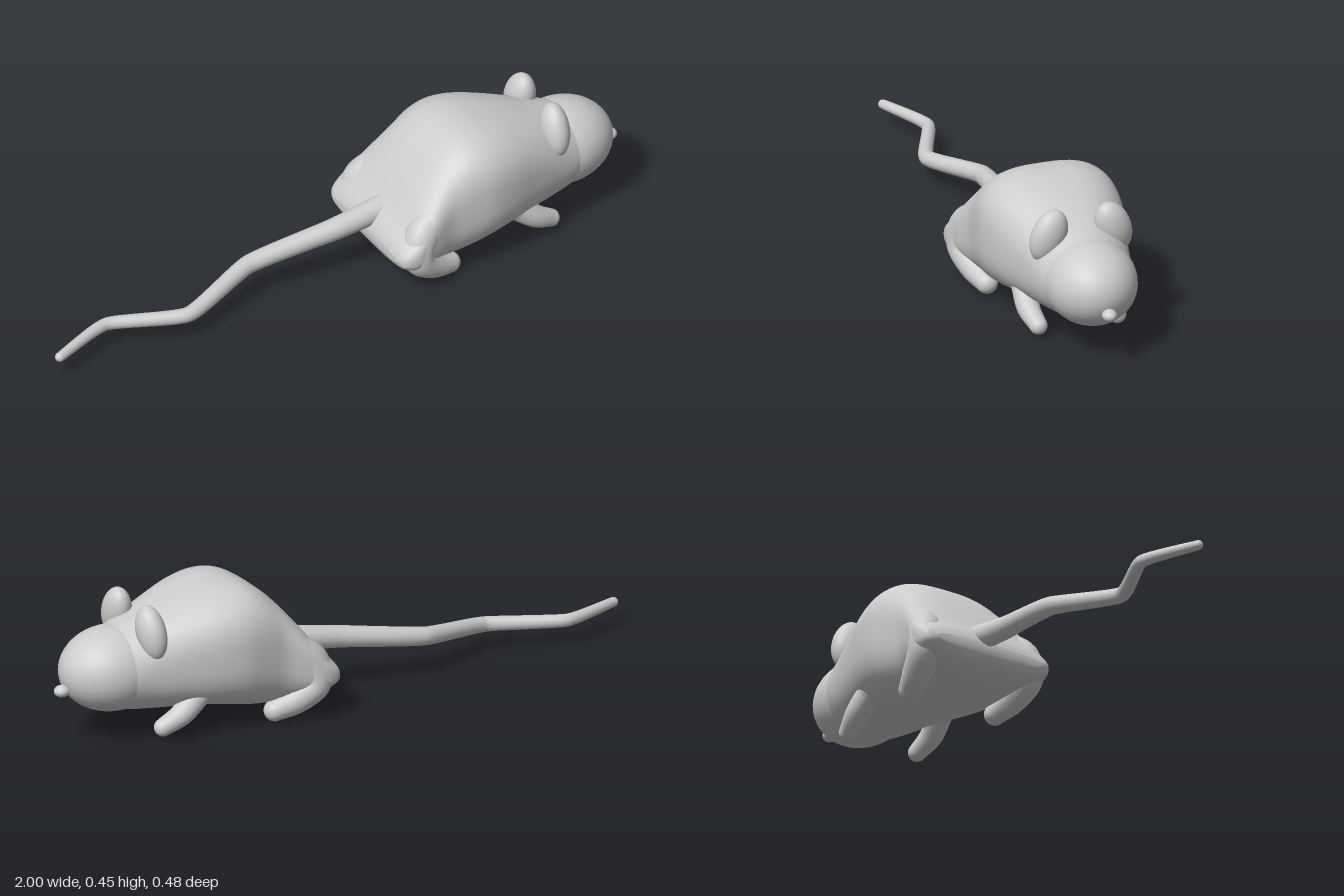
import * as THREE from 'three';

const V = (x, y, z) => new THREE.Vector3(x, y, z);
const fur = new THREE.MeshStandardMaterial({ color: 0xcccccc });
fur.name = 'grey fur';

function mesh(geometry, name) {
  const m = new THREE.Mesh(geometry, fur);
  m.name = name;
  return m;
}

function ellipsoid(name, center, radii) {
  const m = mesh(new THREE.SphereGeometry(1, 40, 28), name);
  m.position.copy(center);
  m.scale.copy(radii);
  return m;
}

// Tapered tube with rounded ends; stations are [x, y, z, radius]
function taperedTube(name, stations, steps, tension = 0.5) {
  const group = new THREE.Group();
  group.name = name;
  const path = new THREE.CatmullRomCurve3(stations.map(s => V(s[0], s[1], s[2])), false, 'catmullrom', tension);
  const sides = 18, last = stations.length - 1;
  const geo = new THREE.TubeGeometry(path, steps, 1, sides);
  const pos = geo.attributes.position, p = V(0, 0, 0);
  for (let i = 0; i <= steps; i++) {
    const c = path.getPointAt(i / steps);
    const t = path.getUtoTmapping(i / steps) * last;
    const k = Math.min(Math.floor(t), last - 1);
    const r = THREE.MathUtils.lerp(stations[k][3], stations[k + 1][3], t - k);
    for (let j = 0; j <= sides; j++) {
      const n = i * (sides + 1) + j;
      p.fromBufferAttribute(pos, n).sub(c).multiplyScalar(r).add(c);
      pos.setXYZ(n, p.x, p.y, p.z);
    }
  }
  group.add(mesh(geo, name + 'Length'));
  for (const s of [stations[0], stations[last]]) {
    group.add(ellipsoid(name + 'End', V(s[0], s[1], s[2]), V(s[3], s[3], s[3])));
  }
  return group;
}

// Body: squarish oval cross-sections lofted from rump to neck
function bodyGeometry() {
  // x, top, bottom, half width, squareness
  const sections = [
    [0.108, 0.150, 0.115, 0.190, 2.6],
    [0.125, 0.182, 0.088, 0.226, 2.8],
    [0.170, 0.232, 0.062, 0.240, 2.9],
    [0.230, 0.310, 0.045, 0.228, 2.9],
    [0.300, 0.388, 0.037, 0.213, 2.9],
    [0.370, 0.436, 0.042, 0.219, 2.9],
    [0.440, 0.448, 0.055, 0.225, 2.8],
    [0.520, 0.437, 0.068, 0.214, 2.7],
    [0.610, 0.412, 0.075, 0.189, 2.5],
    [0.700, 0.380, 0.080, 0.164, 2.3],
    [0.780, 0.355, 0.087, 0.145, 2.0],
    [0.880, 0.325, 0.115, 0.115, 2.0],
  ];
  const heights = new THREE.CatmullRomCurve3(sections.map(s => V(s[0], s[1], s[2])), false, 'catmullrom');
  const widths = new THREE.CatmullRomCurve3(sections.map(s => V(s[0], s[3], s[4])), false, 'catmullrom');
  const rings = 66, sides = 64, points = [], index = [];
  for (let i = 0; i <= rings; i++) {
    const a = heights.getPoint(i / rings), b = widths.getPoint(i / rings);
    const mid = (a.y + a.z) / 2, half = (a.y - a.z) / 2, e = 2 / b.z;
    for (let j = 0; j < sides; j++) {
      const t = j / sides * Math.PI * 2, c = Math.cos(t), s = Math.sin(t);
      points.push(a.x,
        mid + half * Math.sign(s) * Math.abs(s) ** e,
        b.y * Math.sign(c) * Math.abs(c) ** e);
      if (i < rings) {
        const k = (j + 1) % sides, p = i * sides + j, q = i * sides + k;
        index.push(p, p + sides, q, q, p + sides, q + sides);
      }
    }
  }
  // Closing fans at the rump and neck
  const rump = points.length / 3, neck = rump + 1;
  points.push(0.106, 0.1325, 0, 0.88, 0.22, 0);
  for (let j = 0; j < sides; j++) {
    const k = (j + 1) % sides;
    index.push(rump, j, k, neck, rings * sides + k, rings * sides + j);
  }
  const geo = new THREE.BufferGeometry();
  geo.setAttribute('position', new THREE.Float32BufferAttribute(points, 3));
  geo.setIndex(index);
  geo.computeVertexNormals();
  return geo;
}

export function createModel() {
  const mouse = new THREE.Group();
  mouse.name = 'mouse';
  mouse.add(mesh(bodyGeometry(), 'body'));

  // Head and nose
  mouse.add(ellipsoid('head', V(0.80, 0.22, 0), V(0.17, 0.133, 0.143)));
  mouse.add(ellipsoid('nose', V(0.974, 0.176, 0), V(0.026, 0.019, 0.023)));

  for (const s of [1, -1]) {
    const side = s > 0 ? 'left' : 'right';
    // Ear, leaning inwards at the top
    const ear = ellipsoid(side + 'Ear', V(0.72, 0.352, s * 0.105), V(0.044, 0.087, 0.056));
    ear.rotation.set(-s * 0.35, 0, -0.06);
    mouse.add(ear);

    // Short front leg emerging from under the chest
    mouse.add(taperedTube(side + 'FrontLeg', [
      [0.57, 0.130, s * 0.128, 0.042],
      [0.63, 0.080, s * 0.138, 0.036],
      [0.692, 0.044, s * 0.128, 0.028],
    ], 16));

    // Thigh swelling out of the flank and running down into the hind foot
    mouse.add(taperedTube(side + 'HindLeg', [
      [0.29, 0.26, s * 0.155, 0.045],
      [0.205, 0.190, s * 0.180, 0.055],
      [0.190, 0.115, s * 0.188, 0.052],
      [0.25, 0.064, s * 0.175, 0.045],
      [0.315, 0.035, s * 0.158, 0.034],
    ], 40));
  }

  // Tail, winding from side to side
  mouse.add(taperedTube('tail', [
    [0.20, 0.195, -0.008, 0.042],
    [0.10, 0.180, -0.008, 0.038],
    [0.00, 0.165, -0.012, 0.035],
    [-0.28, 0.120, -0.042, 0.029],
    [-0.54, 0.079, 0.040, 0.024],
    [-0.78, 0.075, -0.050, 0.020],
    [-0.985, 0.070, 0.020, 0.015],
  ], 90, 0.25));

  return mouse;
}
